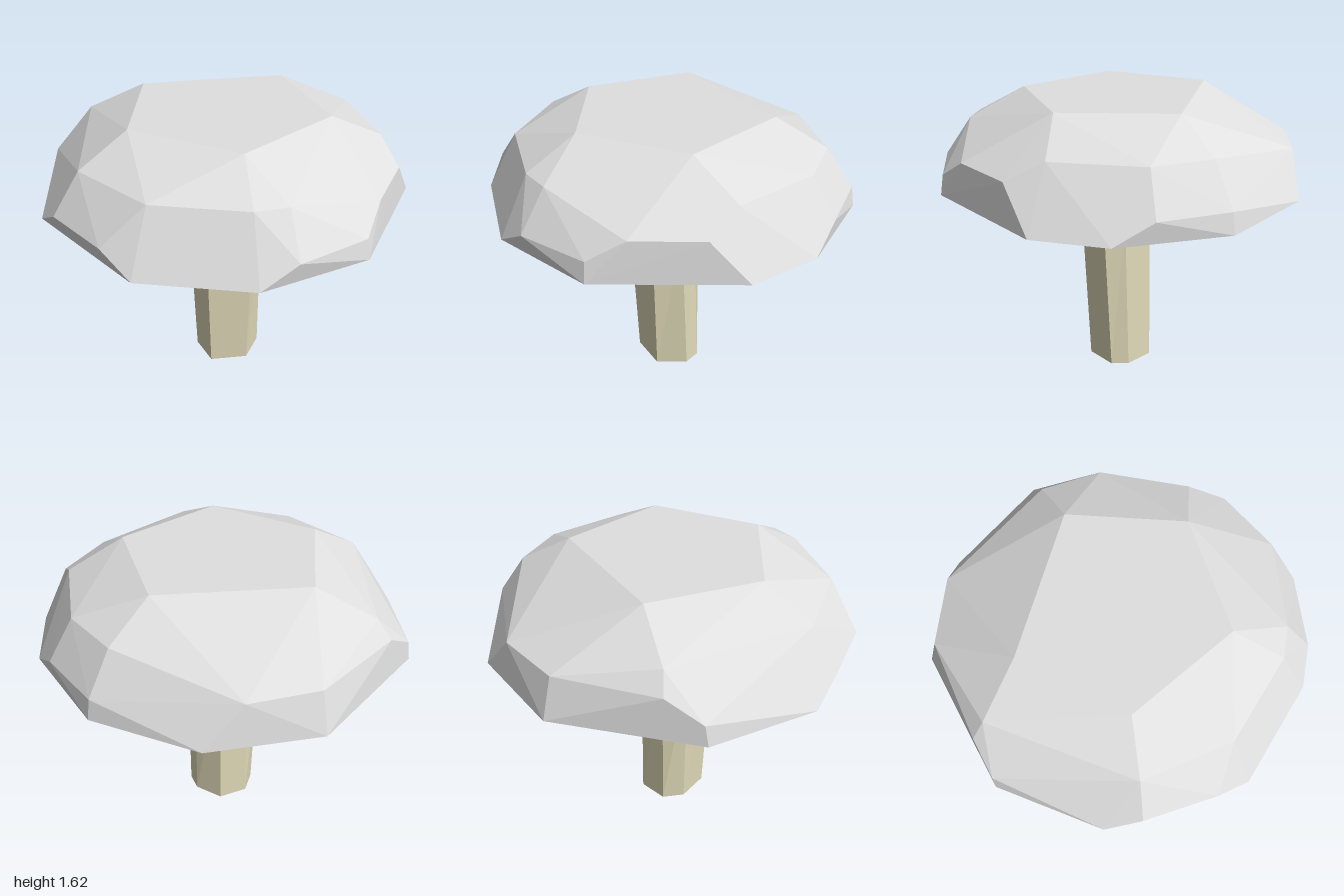
import * as THREE from 'three';
import { ConvexGeometry } from 'three/addons/geometries/ConvexGeometry.js';

// Each level of the faceted cap: height, then its [x, z] corners
const CAP_LEVELS = [
  [1.62, [[-0.03, -0.55], [-0.59, 0.01], [-0.25, 0.52], [0.37, 0.40], [0.49, -0.21]]],
  [1.47, [[-0.03, -0.83], [-0.86, 0.17], [-0.35, 0.78], [0.13, 0.83], [0.56, 0.60],
    [0.67, 0.47], [0.66, -0.46], [0.29, -0.77]]],
  [1.37, [[-0.69, -0.65], [-0.90, -0.35], [-0.94, 0.19], [0.90, 0.01], [0.83, -0.35]]],
  [1.26, [[-0.95, 0.38], [-0.41, 0.92], [-0.03, 0.995], [0.79, 0.56], [0.94, 0.20],
    [0.34, -0.90], [-0.03, -0.98]]],
  [1.15, [[-0.59, 0.85], [0.16, 1.0], [0.68, 0.72], [0.96, 0.20], [0.81, -0.55], [0.53, -0.83],
    [-0.03, -1.0], [-0.59, -0.83], [-0.96, -0.38], [-0.96, 0.40]]],
];

// Seven-sided stem rings, widening under the cap at the back
const STEM_RINGS = [
  [0, [[0.16, 0.05], [0.12, -0.13], [0.03, -0.18], [-0.14, -0.15], [-0.22, 0], [-0.17, 0.12], [0, 0.20]]],
  [0.93, [[0.20, 0.06], [0.15, -0.10], [0.04, -0.15], [-0.13, -0.14], [-0.21, 0], [-0.19, 0.14], [0.01, 0.24]]],
  [1.16, [[0.21, 0.06], [0.16, -0.13], [0.05, -0.21], [-0.17, -0.21], [-0.26, 0], [-0.20, 0.15], [0.01, 0.25]]],
];

const toPoints = ([y, corners]) => corners.map(([x, z]) => new THREE.Vector3(x, y, z));

function capGeometry() {
  const geometry = new ConvexGeometry(CAP_LEVELS.flatMap(toPoints));
  // The flat underside takes the second material
  const normal = geometry.attributes.normal;
  for (let i = 0; i < normal.count; i += 3) {
    geometry.addGroup(i, 3, normal.getY(i) < -0.95 ? 1 : 0);
  }
  return geometry;
}

function stemGeometry() {
  const rings = STEM_RINGS.map(toPoints);
  const points = [];
  const sides = rings[0].length;
  for (let i = 0; i < sides; i++) {
    const j = (i + 1) % sides;
    for (let r = 0; r < rings.length - 1; r++) {
      const low = rings[r], high = rings[r + 1];
      points.push(low[i], low[j], high[j], low[i], high[j], high[i]);
    }
    // Foot of the stem
    if (i > 0 && i < sides - 1) points.push(rings[0][0], rings[0][j], rings[0][i]);
  }
  const geometry = new THREE.BufferGeometry().setFromPoints(points);
  geometry.computeVertexNormals();
  return geometry;
}

export function createModel() {
  const capGrey = new THREE.MeshStandardMaterial({ color: 0xe0e0e0 });
  capGrey.name = 'capGrey';
  const stemCream = new THREE.MeshStandardMaterial({ color: 0xe0dab8 });
  stemCream.name = 'stemCream';

  const cap = new THREE.Mesh(capGeometry(), [capGrey, stemCream]);
  cap.name = 'cap';
  const stem = new THREE.Mesh(stemGeometry(), stemCream);
  stem.name = 'stem';

  const mushroom = new THREE.Group();
  mushroom.name = 'mushroom';
  mushroom.add(cap, stem);
  return mushroom;
}
